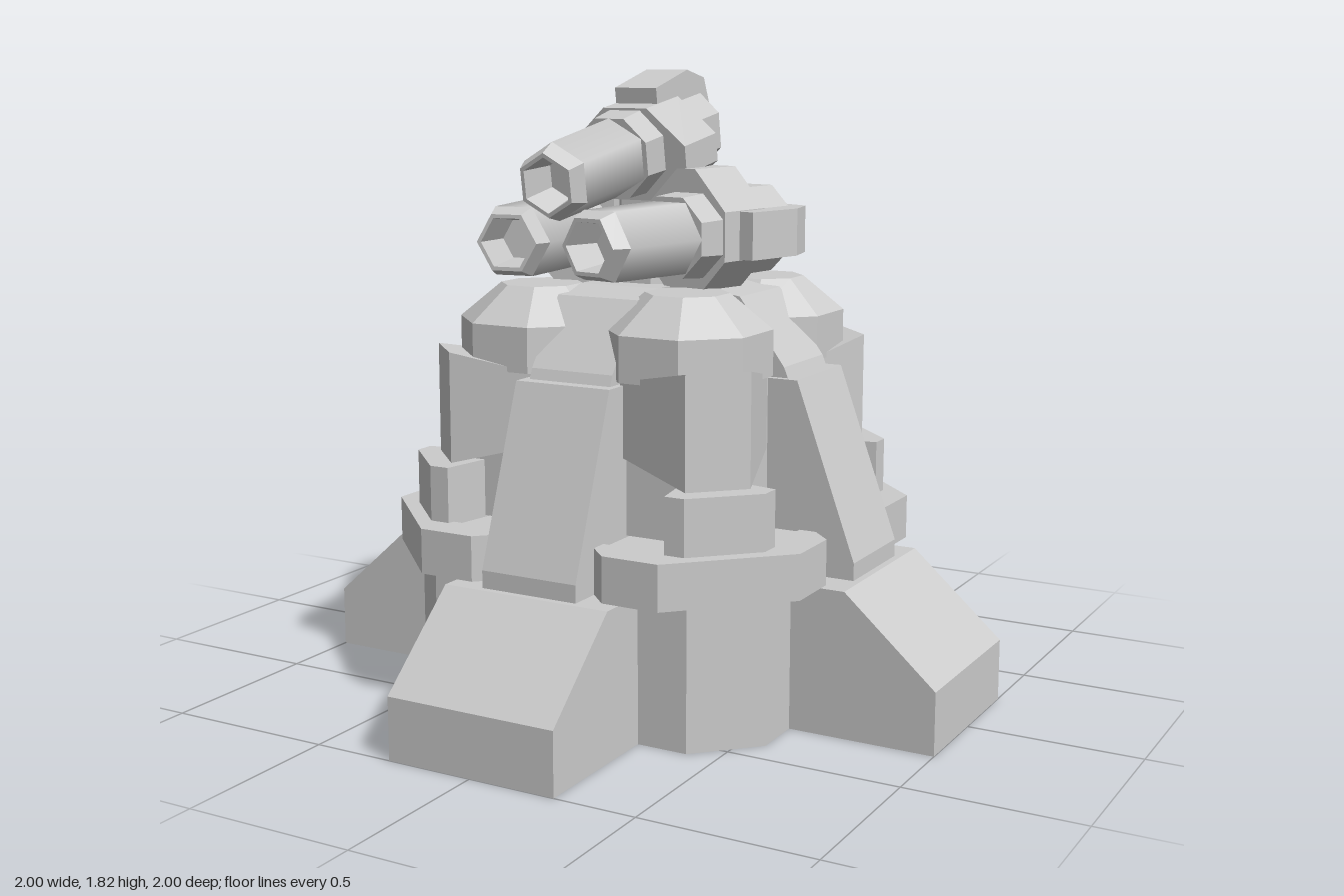
import * as THREE from 'three';

const flat = new THREE.MeshStandardMaterial({ color: 0xcccccc, flatShading: true });
const shell = new THREE.MeshStandardMaterial({ color: 0xcccccc, flatShading: true, side: THREE.DoubleSide });
const smooth = new THREE.MeshStandardMaterial({ color: 0xcccccc, side: THREE.DoubleSide });

function add(parent, name, geometry, material = flat) {
  const mesh = new THREE.Mesh(geometry, material);
  mesh.name = name;
  parent.add(mesh);
  return mesh;
}

// Solid between two rings of [x, y, z], both counter-clockwise from above
function loft(low, high, bottomCap = true) {
  const n = low.length, index = [];
  for (let i = 0; i < n; i++) {
    const j = (i + 1) % n;
    index.push(i, j, n + j, i, n + j, n + i);
    if (i > 0 && i < n - 1) {
      index.push(n, n + i, n + i + 1);
      if (bottomCap) index.push(0, i + 1, i);
    }
  }
  const g = new THREE.BufferGeometry();
  g.setAttribute('position', new THREE.Float32BufferAttribute([...low, ...high].flat(), 3));
  g.setIndex(index);
  const out = g.toNonIndexed();
  out.computeVertexNormals();
  return out;
}

// Upright extrusion of an [x, z] outline
function prism(outline, y0, y1) {
  const shape = new THREE.Shape(outline.map(([x, z]) => new THREE.Vector2(x, -z)));
  return new THREE.ExtrudeGeometry(shape, { depth: y1 - y0, bevelEnabled: false })
    .rotateX(-Math.PI / 2).translate(0, y0, 0);
}

// Square with cut corners: half width h, corners start at c
const cutSquare = (h, c) => [[-c, h], [c, h], [h, c], [h, -c], [c, -h], [-c, -h], [-h, -c], [-h, c]];

// Upright octagonal frustum measured across its flats
function octagon(lowHalf, highHalf, y0, y1) {
  const k = 1 / Math.cos(Math.PI / 8);
  return new THREE.CylinderGeometry(highHalf * k, lowHalf * k, y1 - y0, 8)
    .rotateY(Math.PI / 8).translate(0, (y0 + y1) / 2, 0);
}

// Side profile of [forward, up] points, given a width and facing +z
function slab(points, width) {
  const shape = new THREE.Shape(points.map(([z, y]) => new THREE.Vector2(z, y)));
  return new THREE.ExtrudeGeometry(shape, { depth: width, bevelEnabled: false })
    .translate(0, 0, -width / 2).rotateY(-Math.PI / 2);
}

function createLeg() {
  const leg = new THREE.Group();
  leg.name = 'leg';
  add(leg, 'foot', slab([[0.55, 0], [1, 0], [1, 0.18], [0.73, 0.42], [0.55, 0.42]], 0.52));
  add(leg, 'buttress', slab([[0.56, 0.42], [0.71, 0.42], [0.71, 0.47], [0.53, 0.97], [0.3, 0.97], [0.4, 0.55]], 0.3));
  add(leg, 'buttressTop', slab([[0.1, 0.95], [0.5, 0.95], [0.48, 1.0], [0.34, 1.19], [0.22, 1.21], [0.1, 1.21]], 0.26));
  return leg;
}

function createTower() {
  const tower = new THREE.Group();
  tower.name = 'tower';
  // Band wrapped round the corner of the base
  add(tower, 'towerLedge', prism([[0.15, 0.6], [0.21, 0.66], [0.38, 0.66], [0.66, 0.38], [0.66, 0.21],
    [0.6, 0.15], [0.55, 0.15], [0.55, 0.4], [0.4, 0.55], [0.15, 0.55]], 0.42, 0.55));
  add(tower, 'towerBlock', prism([[0.35, 0.57], [0.41, 0.57], [0.57, 0.41], [0.57, 0.35], [0.3, 0.3]], 0.54, 0.71));
  // The body shrinks in height towards the buttresses
  const body = [[0.14, 0.44, 1], [0.38, 0.51, 0], [0.51, 0.38, 0], [0.44, 0.14, 1], [0.1, 0.1, 1]];
  add(tower, 'towerBody', loft(
    body.map(([x, z, inner]) => [x, 0.71 + inner * 0.06, z]),
    body.map(([x, z, inner]) => [x, 1.03 - inner * 0.05, z])));
  add(tower, 'towerCap', octagon(0.222, 0.222, 0.98, 1.11)).position.set(0.24, 0, 0.24);
  add(tower, 'towerDome', octagon(0.222, 0.11, 1.11, 1.21)).position.set(0.24, 0, 0.24);
  return tower;
}

// Gun along +z whose outboard side is +y
function createGun() {
  const gun = new THREE.Group();
  gun.name = 'gun';
  const along = (half, z0, z1, half2 = half) => octagon(half, half2, z0, z1).rotateX(Math.PI / 2);

  add(gun, 'barrel', new THREE.CylinderGeometry(0.108, 0.114, 0.35, 6, 1, true)
    .rotateX(Math.PI / 2).translate(0, 0, 0.385), smooth);
  const muzzle = [[0.108, 0.56], [0.088, 0.61], [0.076, 0.61], [0.06, 0.5], [0, 0.5]];
  add(gun, 'muzzle', new THREE.LatheGeometry(muzzle.map(([r, y]) => new THREE.Vector2(r, y)), 6)
    .rotateX(Math.PI / 2), shell);
  add(gun, 'collar', along(0.12, 0.15, 0.26, 0.112));
  // Wide shouldered block, narrower on its outboard side
  const block = [[-0.07, 0.125], [-0.185, 0.02], [-0.185, -0.06], [-0.09, -0.14],
    [0.09, -0.14], [0.185, -0.06], [0.185, 0.02], [0.07, 0.125]];
  add(gun, 'receiver', new THREE.ExtrudeGeometry(
    new THREE.Shape(block.map(([x, y]) => new THREE.Vector2(x, y))),
    { depth: 0.19, bevelEnabled: false }).translate(0, 0, -0.02));
  add(gun, 'breech', along(0.125, -0.16, -0.02, 0.125));
  add(gun, 'feedBox', slab([[-0.22, 0.04], [-0.08, 0], [0.1, 0.08], [0.1, 0.17],
    [-0.09, 0.19], [-0.19, 0.15]], 0.135));
  return gun;
}

export function createModel() {
  const model = new THREE.Group();
  model.name = 'gunTurret';

  // Hollow base, open underneath
  const wall = cutSquare(0.57, 0.41);
  add(model, 'base', loft(wall.map(([x, z]) => [x, 0, z]), wall.map(([x, z]) => [x, 0.54, z]), false), shell);
  add(model, 'core', prism(cutSquare(0.44, 0.36), 0.545, 1.0));
  add(model, 'deck', octagon(0.36, 0.3, 1.0, 1.12));

  // Four legs with a tower in each corner
  const towers = new THREE.Group();
  towers.name = 'towers';
  towers.position.z = 0.015;
  model.add(towers);
  for (let i = 0; i < 4; i++) {
    const leg = createLeg(), tower = createTower();
    leg.rotation.y = tower.rotation.y = i * Math.PI / 2;
    model.add(leg);
    towers.add(tower);
  }

  // Swivel under and between the guns
  add(model, 'swivel', octagon(0.15, 0.14, 1.1, 1.34));
  add(model, 'hub', octagon(0.12, 0.12, 1.34, 1.54));

  // Three guns converging towards the front
  for (const [name, x, y, roll] of [['topGun', 0, 1.615, 0],
    ['leftGun', 0.225, 1.36, -Math.PI / 2], ['rightGun', -0.225, 1.36, Math.PI / 2]]) {
    const gun = createGun();
    gun.name = name;
    gun.position.set(x, y, 0);
    gun.rotation.set(0.16, 0, roll, 'ZXY');
    model.add(gun);
  }
  return model;
}
